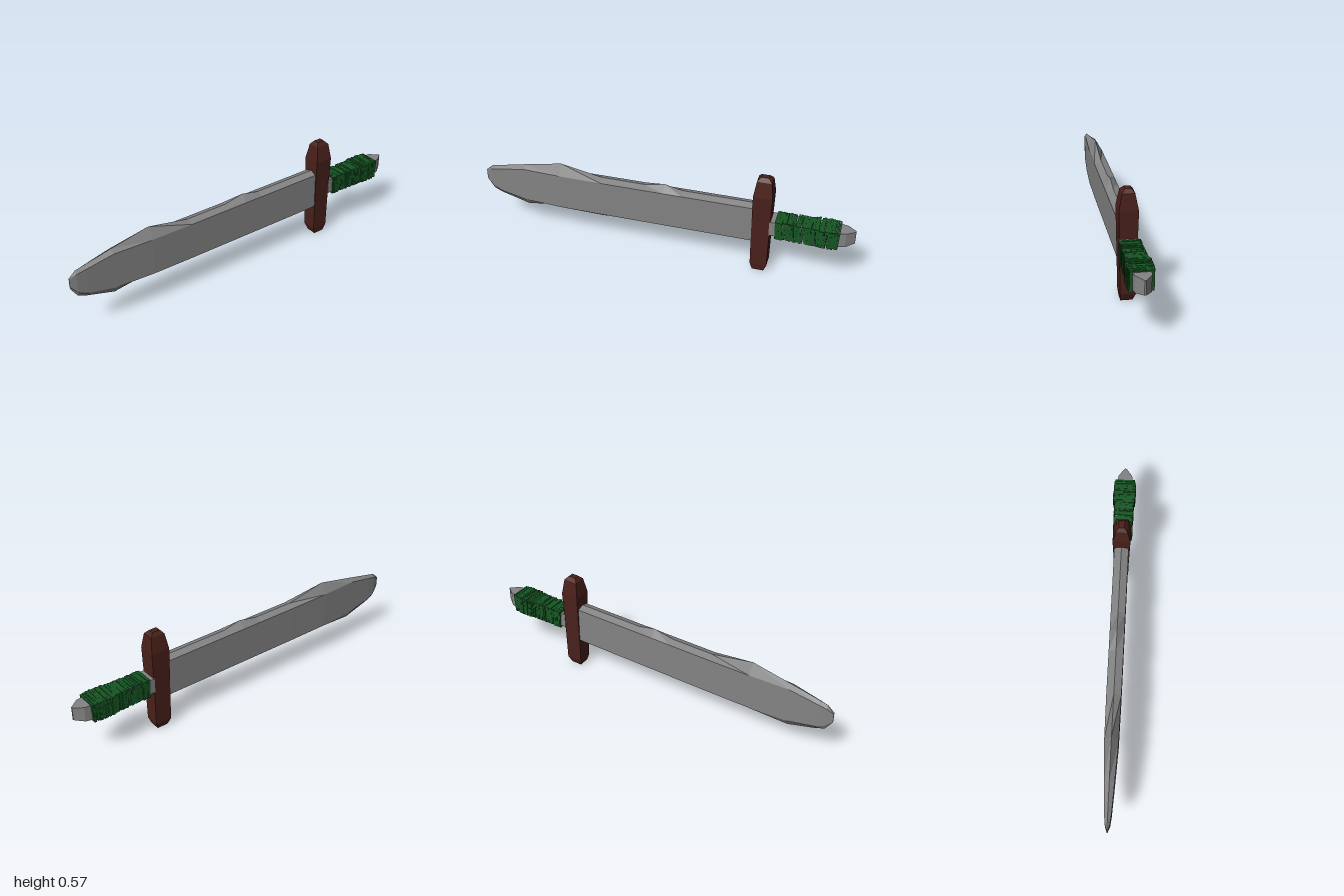
import * as THREE from 'three';

const material = (color) => new THREE.MeshStandardMaterial({ color, flatShading: true });

// Skin a stack of equal-sized rings [[x, y], ...] placed at z, with closed ends
function loft(sections) {
  const pos = [], idx = [];
  const n = sections[0].ring.length;
  sections.forEach(({ z, ring }) => ring.forEach(([x, y]) => pos.push(x, y, z)));
  for (let i = 0; i < sections.length - 1; i++) {
    for (let j = 0; j < n; j++) {
      const a = i * n + j, b = i * n + (j + 1) % n;
      idx.push(a, b, b + n, a, b + n, a + n);
    }
  }
  const last = (sections.length - 1) * n;
  for (let j = 1; j < n - 1; j++) {
    idx.push(0, j + 1, j);
    idx.push(last, last + j, last + j + 1);
  }
  const g = new THREE.BufferGeometry();
  g.setAttribute('position', new THREE.Float32BufferAttribute(pos, 3));
  g.setIndex(idx);
  const flat = g.toNonIndexed();
  flat.computeVertexNormals();
  return flat;
}

const rect = (x0, x1, y0, y1) => [[x0, y0], [x1, y0], [x1, y1], [x0, y1]];

function addMesh(parent, name, geometry, mat) {
  const mesh = new THREE.Mesh(geometry, mat);
  mesh.name = name;
  parent.add(mesh);
  return mesh;
}

export function createModel() {
  const group = new THREE.Group();
  group.name = 'sword';
  const steel = material(0x838383);
  const wood = material(0x49201a);
  const cord = material(0x165523);

  // Blade: z, cutting edge bottom, shoulder bottom, shoulder top, edge top, half width
  const blade = [
    [-0.53, 0.178, 0.187, 0.387, 0.40, 0.038],
    [-0.11, 0.178, 0.187, 0.387, 0.40, 0.038],
    [-0.01, 0.178, 0.187, 0.387, 0.422, 0.038],
    [0.10, 0.178, 0.187, 0.387, 0.40, 0.038],
    [0.33, 0.155, 0.187, 0.387, 0.40, 0.038],
    [0.56, 0.178, 0.187, 0.387, 0.445, 0.036],
    [0.77, 0.150, 0.190, 0.386, 0.403, 0.026],
    [0.92, 0.195, 0.220, 0.356, 0.371, 0.018],
    [0.965, 0.215, 0.240, 0.345, 0.361, 0.013],
    [1.00, 0.270, 0.280, 0.320, 0.330, 0.002],
  ];
  addMesh(group, 'blade', loft(blade.map(([z, e0, s0, s1, e1, w]) => ({
    z, ring: [[0, e0], [w, s0], [w, s1], [0, e1], [-w, s1], [-w, s0]],
  }))), steel);

  // Crossguard: height, left and right x, front and back z
  const guard = [
    [0.001, -0.024, 0.034, -0.497, -0.557],
    [0.04, -0.039, 0.039, -0.484, -0.572],
    [0.20, -0.041, 0.041, -0.481, -0.573],
    [0.465, -0.047, 0.047, -0.478, -0.577],
    [0.548, -0.031, 0.031, -0.490, -0.566],
    [0.567, -0.016, 0.014, -0.507, -0.547],
  ];
  const guardGeometry = loft(guard.map(([y, x0, x1, zf, zb]) => ({
    z: y, ring: rect(x0, x1, -zf, -zb),
  })));
  guardGeometry.rotateX(-Math.PI / 2);
  addMesh(group, 'crossguard', guardGeometry, wood);

  // Tang and wedge-shaped pommel
  const tang = [
    [-1.00, 0.004, 0.255, 0.325],
    [-0.955, 0.037, 0.246, 0.327],
    [-0.90, 0.046, 0.242, 0.328],
    [-0.57, 0.046, 0.245, 0.327],
  ];
  addMesh(group, 'tangAndPommel', loft(tang.map(([z, w, y0, y1]) => ({
    z, ring: rect(-w, w, y0, y1),
  }))), steel);

  // Cord wrapping: overlapping, slightly uneven square bands
  let seed = 7;
  const jitter = (amount) => {
    seed = (seed * 16807) % 2147483647;
    return (seed / 2147483647 - 0.5) * 2 * amount;
  };
  const wrap = new THREE.Group();
  wrap.name = 'gripWrap';
  group.add(wrap);
  const bands = 44;
  for (let i = 0; i < bands; i++) {
    const z = -0.605 - (0.312 * i) / (bands - 1);
    const swell = THREE.MathUtils.smoothstep(-z, 0.77, 0.82) * 0.008
      - THREE.MathUtils.smoothstep(-z, 0.87, 0.92) * 0.004;
    const width = 2 * (0.052 + swell + jitter(0.002));
    const height = 0.1 + jitter(0.004);
    const band = addMesh(wrap, 'cordBand', new THREE.BoxGeometry(width, height, 0.01), cord);
    band.position.set(jitter(0.001), 0.284 + jitter(0.002), z);
    band.rotation.set(jitter(0.08), jitter(0.07), jitter(0.02));
  }
  return group;
}
